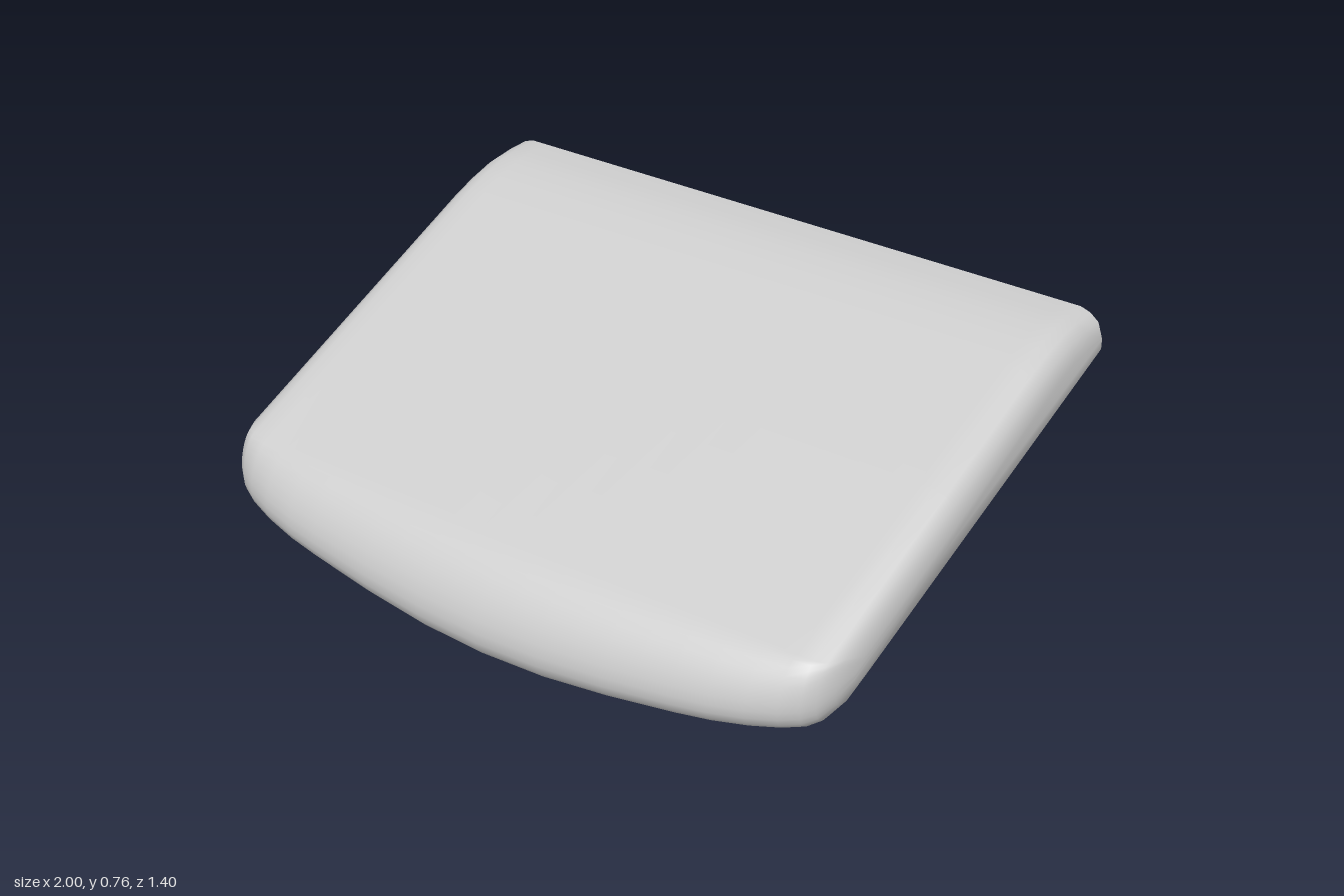
import * as THREE from 'three';
import { toCreasedNormals } from 'three/addons/utils/BufferGeometryUtils.js';

// piecewise-linear lookup in a list of [key, value] pairs
function lookup(table, k) {
  for (let i = 1; i < table.length; i++) {
    const [k0, v0] = table[i - 1], [k1, v1] = table[i];
    if (k <= k1) return v0 + (v1 - v0) * (k - k0) / (k1 - k0);
  }
  return table[table.length - 1][1];
}

// top surface height along z, and outline values against |x|
const TOP = [[-0.7, 0.76], [-0.63, 0.758], [-0.56, 0.75], [-0.48, 0.728], [-0.4, 0.698], [0.6, 0.267]];
const FRONT = [[0, 0.7], [0.2, 0.695], [0.4, 0.682], [0.6, 0.662], [0.7, 0.65], [0.8, 0.63],
  [0.88, 0.605], [0.93, 0.58], [0.96, 0.555], [0.985, 0.51], [1, 0.45]];
const LIFT = [[0, 0], [0.2, 0.005], [0.4, 0.021], [0.6, 0.041], [0.7, 0.053], [0.93, 0.083],
  [0.96, 0.092], [0.985, 0.108], [1, 0.135]];
const DROP = [[0, 0], [0.93, 0], [0.96, 0.01], [0.985, 0.03], [1, 0.075]];
const bottom = (z) => 0.004 + (0.6 - z) * 0.397;

// closed side profile at a given x: top, rounded nose, underside
function profile(x) {
  const a = Math.abs(x);
  const zf = lookup(FRONT, a), lift = lookup(LIFT, a), drop = lookup(DROP, a);
  const zt = Math.min(0.53, zf - 0.04);
  const g = 0.05 + 0.05 * Math.min(1, (zf - zt - 0.04) / 0.13);
  const zq = zf - g;
  const pts = [-0.7, -0.63, -0.56, -0.48, -0.4, 0].map((z) => [z, lookup(TOP, z) - drop]);
  const pY = lookup(TOP, zt) - drop, qY = bottom(zq) + lift;
  const nose = new THREE.CubicBezierCurve(
    new THREE.Vector2(zt, pY),
    new THREE.Vector2(zt + 0.88 * (zf - zt), pY - 0.3 * (zf - zt)),
    new THREE.Vector2(zf + 0.8 * g, qY - 0.01),
    new THREE.Vector2(zq, qY));
  for (const p of nose.getPoints(12)) pts.push([p.x, p.y]);
  pts.push([0, bottom(0) + lift], [-0.7, bottom(-0.7) + lift]);
  return pts.map(([z, y]) => new THREE.Vector3(x, y, z));
}

// skin the profiles from side to side and close both ends
function panelGeometry() {
  const half = [0.1, 0.2, 0.3, 0.4, 0.5, 0.6, 0.7, 0.8, 0.88, 0.93, 0.96, 0.985, 1];
  const xs = [...half.map((x) => -x).reverse(), 0, ...half];
  const rings = xs.map(profile);
  const n = rings[0].length, verts = rings.flat(), index = [];
  for (let i = 0; i < xs.length - 1; i++) {
    for (let j = 0; j < n; j++) {
      const a = i * n + j, b = i * n + (j + 1) % n;
      index.push(a, b, a + n, b, b + n, a + n);
    }
  }
  for (const i of [0, xs.length - 1]) {
    const centre = new THREE.Vector3();
    rings[i].forEach((p) => centre.addScaledVector(p, 1 / n));
    const c = verts.push(centre) - 1;
    for (let j = 0; j < n; j++) {
      const a = i * n + j, b = i * n + (j + 1) % n;
      if (i === 0) index.push(c, b, a);
      else index.push(c, a, b);
    }
  }
  const geo = new THREE.BufferGeometry().setFromPoints(verts);
  geo.setIndex(index);
  return toCreasedNormals(geo, 0.75);
}

export function createModel() {
  const group = new THREE.Group();
  const panel = new THREE.Mesh(panelGeometry(), new THREE.MeshStandardMaterial({ color: 0xcccccc }));
  panel.name = 'slopedPanel';
  group.add(panel);
  return group;
}
